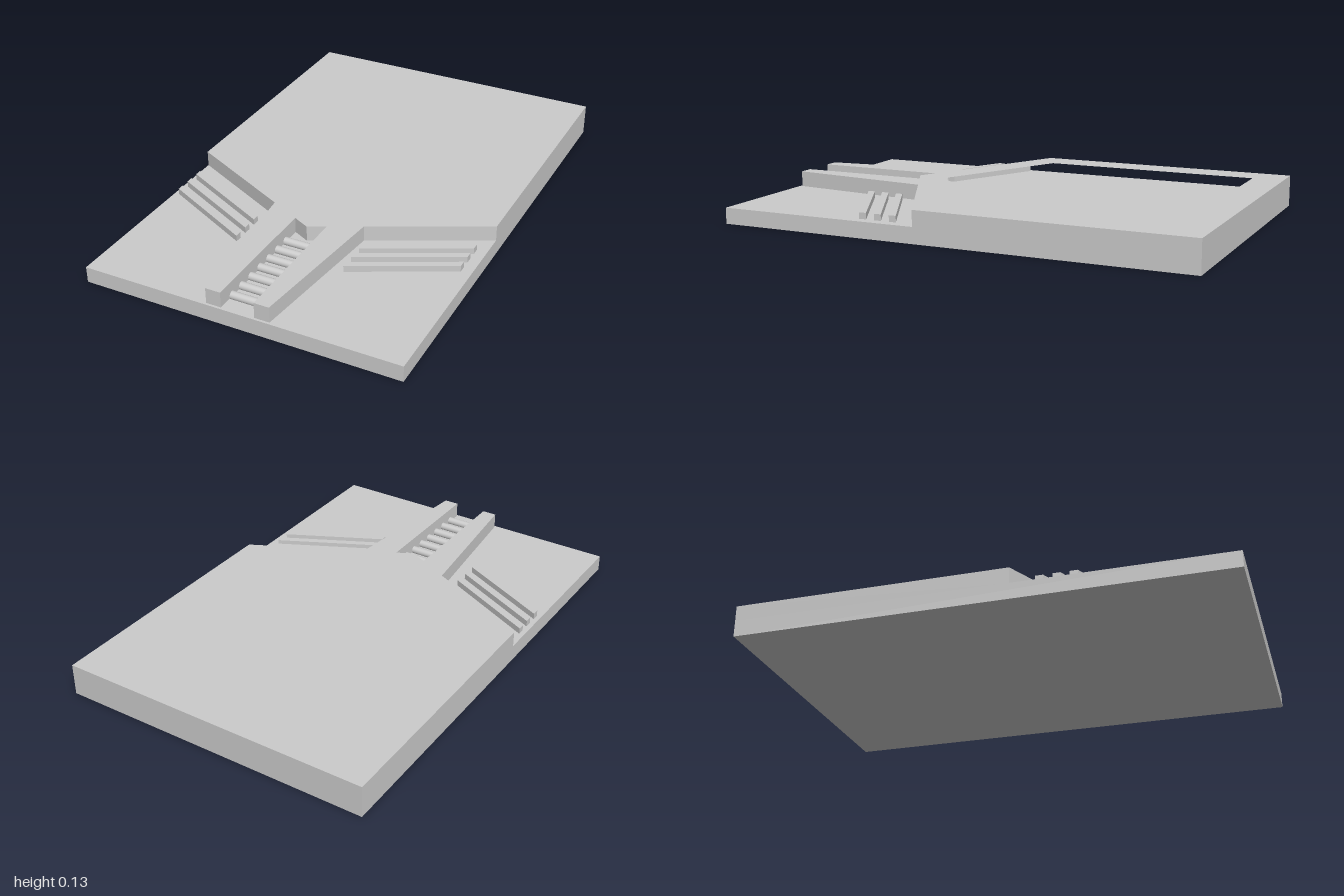
import * as THREE from 'three';

const BASE_H = 0.067, WALL_H = 0.066, HALF_W = 0.665;
const material = new THREE.MeshStandardMaterial({ color: 0xcccccc });

// Plan outline given as [x, z] corners
const plan = (pts) => pts.map(([x, z]) => new THREE.Vector2(x, -z));

// Extrude a plan outline upward from height y
function slab(name, pts, y, height, hole) {
  const shape = new THREE.Shape(plan(pts));
  if (hole) shape.holes.push(new THREE.Path(plan(hole)));
  const geo = new THREE.ExtrudeGeometry(shape, { depth: height, bevelEnabled: false });
  geo.rotateX(-Math.PI / 2);
  geo.translate(0, y, 0);
  const mesh = new THREE.Mesh(geo, material);
  mesh.name = name;
  return mesh;
}

// Complete a half outline (x >= 0) with its mirror image
function mirrored(half) {
  const other = half.filter(([x]) => x > 0).reverse().map(([x, z]) => [-x, z]);
  return [...half, ...other];
}

export function createModel() {
  const model = new THREE.Group();
  model.name = 'platform';

  // Base plate
  const base = new THREE.Mesh(new THREE.BoxGeometry(HALF_W * 2, BASE_H, 2), material);
  base.position.y = BASE_H / 2;
  base.name = 'basePlate';
  model.add(base);

  // Raised rim around the recessed court, running on into two tapered rails
  const outer = mirrored([
    [HALF_W, -1], [HALF_W, 0.133], [0.2, 0.365], [0.133, 0.99],
    [0.07, 0.99], [0.07, 0.43], [0, 0.465],
  ]);
  const court = mirrored([[0.533, -0.867], [0.533, 0.065], [0, 0.33]]);
  model.add(slab('rimAndRails', outer, BASE_H, WALL_H, court));

  // Round rungs between the rails
  const rungs = new THREE.Group();
  rungs.name = 'rungs';
  const rungGeo = new THREE.CylinderGeometry(0.0167, 0.0167, 0.136, 24).rotateZ(Math.PI / 2);
  for (let i = 0; i < 7; i++) {
    const rung = new THREE.Mesh(rungGeo, material);
    rung.position.set(0, 0.0765, 0.516 + i * 0.0667);
    rung.name = 'rung';
    rungs.add(rung);
  }
  model.add(rungs);

  // Three slanted ribs on each side, parallel to the rim
  for (const [name, inner, outerX] of [['leftRibs', 0.225, 0.622], ['rightRibs', -0.245, -0.645]]) {
    const ribs = new THREE.Group();
    ribs.name = name;
    for (let i = 0; i < 3; i++) {
      const z = i * 0.0667;
      ribs.add(slab('rib', [
        [outerX, 0.228 + z], [inner, 0.427 + z], [inner, 0.458 + z], [outerX, 0.259 + z],
      ], BASE_H, 0.026));
    }
    model.add(ribs);
  }

  return model;
}
